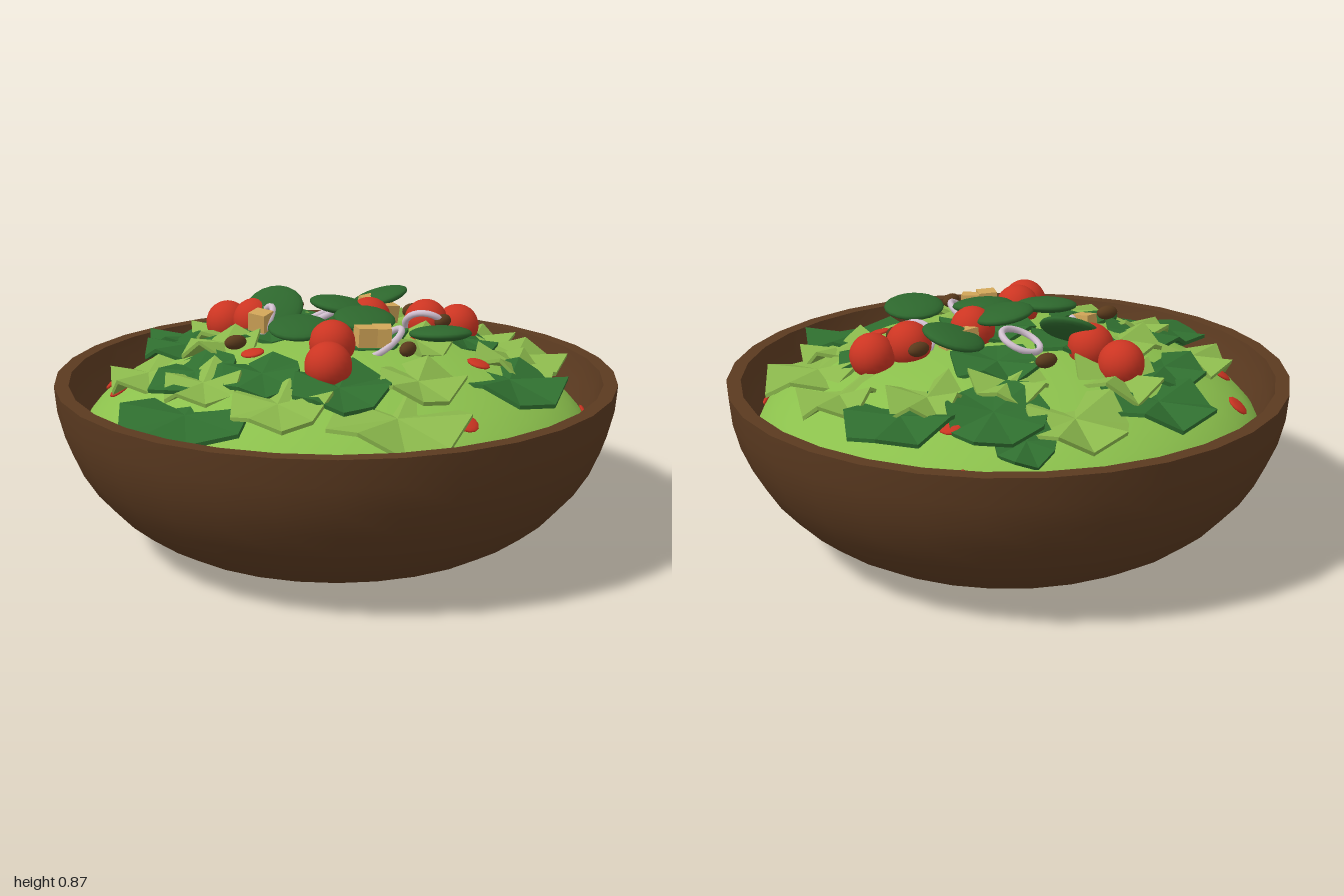
import * as THREE from 'three';
import { toCreasedNormals } from 'three/addons/utils/BufferGeometryUtils.js';

const mat = (name, color, extra = {}) => {
  const m = new THREE.MeshStandardMaterial({ color, ...extra });
  m.name = name;
  return m;
};

// height and slope of the salad mound
const R = 0.93, H = 0.4, BASE = 0.34;
const moundY = (x, z) => BASE + H * Math.sqrt(Math.max(0.02, 1 - (x * x + z * z) / (R * R)));
const moundNormal = (x, z) =>
  new THREE.Vector3(x / (R * R), (moundY(x, z) - BASE) / (H * H), z / (R * R)).normalize();

let seed = 7;
const rnd = () => (seed = (seed * 16807) % 2147483647) / 2147483647;

// thin disc with a jagged, crumpled rim
function leafGeometry(r, crumple) {
  const n = 9, lift = [], reach = [];
  for (let i = 0; i < n; i++) {
    lift.push((i % 2 ? 1 : -0.6) * crumple * (0.5 + rnd()));
    reach.push(0.88 + 0.22 * rnd());
  }
  const g = new THREE.CylinderGeometry(r, r, 0.014, n);
  const p = g.attributes.position;
  for (let i = 0; i < p.count; i++) {
    const x = p.getX(i), z = p.getZ(i);
    if (Math.hypot(x, z) < 0.01) continue;
    const k = ((Math.round(Math.atan2(x, z) / (Math.PI * 2 / n)) % n) + n) % n;
    p.setXYZ(i, x * reach[k], p.getY(i) + lift[k], z * reach[k]);
  }
  g.computeVertexNormals();
  return g;
}

export function createModel() {
  const group = new THREE.Group();
  const wood = mat('wood', 0x5b3a20);
  const lettuce = mat('lettuce', 0x8bc04c);
  const lettuceLeaf = mat('lettuceLeaf', 0x8bb84c, { flatShading: true });
  const spinach = mat('spinach', 0x2f6e2f, { flatShading: true });
  const cucumber = mat('cucumber', 0x2d672d);
  const tomato = mat('tomato', 0xcc3522);
  const crouton = mat('crouton', 0xd2a658);
  const onion = mat('onion', 0xd2c0d0);
  const olive = mat('olive', 0x5a3a1c);

  const add = (name, geo, material, x, y, z, rot = [0, 0, 0]) => {
    const m = new THREE.Mesh(geo, material);
    m.name = name;
    m.position.set(x, y, z);
    m.rotation.set(...rot);
    group.add(m);
    return m;
  };

  // bowl: round outer wall, flat rim, inner wall
  const profile = [[0, 0]];
  for (let i = 0; i <= 10; i++) {
    const a = (i / 10) * Math.PI / 2;
    profile.push([0.4 + 0.6 * Math.sin(a), 0.6 - 0.6 * Math.cos(a)]);
  }
  profile.push([0.95, 0.6], [0.93, 0.52], [0.89, 0.44], [0.83, 0.3], [0.6, 0.1], [0, 0.05]);
  const bowl = new THREE.LatheGeometry(profile.map(([x, y]) => new THREE.Vector2(x, y)), 32);
  add('bowl', toCreasedNormals(bowl, 0.6), wood, 0, 0, 0);

  // lettuce mound
  const mound = new THREE.SphereGeometry(1, 40, 14, 0, Math.PI * 2, 0, Math.PI / 2);
  mound.scale(R, H, R);
  add('lettuceMound', mound, lettuce, 0, BASE, 0);

  // leaves: x, z, radius, share of the mound's tilt, crumple
  const up = new THREE.Vector3(0, 1, 0);
  const addLeaves = (name, material, list) => list.forEach(([x, z, r, tilt, crumple]) => {
    const leaf = add(name, leafGeometry(r, crumple), material, x, moundY(x, z) + 0.006, z);
    const n = up.clone().lerp(moundNormal(x, z), tilt).normalize();
    leaf.quaternion.setFromUnitVectors(up, n);
  });
  addLeaves('spinachLeaf', spinach, [
    [-0.73, 0.03, 0.24, 0.3, 0.02], [-0.1, -0.65, 0.19, 0.3, 0.025], [-0.3, -0.48, 0.17, 0.3, 0.025],
    [0.63, -0.2, 0.2, 0.35, 0.025], [0.24, 0.6, 0.21, 0.3, 0.03], [-0.36, 0.37, 0.17, 0.5, 0.025],
    [0.42, -0.42, 0.17, 0.9, 0.02], [-0.53, -0.15, 0.16, 0.9, 0.02], [0.02, 0.08, 0.17, 1, 0.02],
    [0.4, 0.25, 0.14, 0.9, 0.02], [-0.12, -0.22, 0.16, 0.9, 0.02], [0.22, -0.2, 0.15, 1, 0.02],
    [-0.45, 0.1, 0.14, 0.9, 0.02], [-0.68, 0.54, 0.04, 1, 0.01], [0.42, -0.58, 0.1, 0.95, 0.015],
  ]);
  addLeaves('lettuceLeaf', lettuceLeaf, [
    [-0.33, 0.6, 0.22, 0.35, 0.03], [0.56, 0.38, 0.2, 0.4, 0.03], [-0.12, 0.5, 0.15, 0.6, 0.03],
    [0.23, -0.6, 0.18, 0.6, 0.03], [-0.55, -0.38, 0.16, 0.6, 0.03], [0.66, 0.1, 0.15, 0.5, 0.03],
    [-0.55, 0.28, 0.17, 0.5, 0.03], [-0.08, -0.48, 0.16, 0.7, 0.035], [-0.3, -0.26, 0.15, 0.8, 0.035],
    [0.4, 0.5, 0.15, 0.6, 0.03], [0.52, -0.2, 0.13, 0.7, 0.035], [0.28, -0.33, 0.13, 0.8, 0.03],
    [-0.58, -0.05, 0.14, 0.6, 0.03], [0.15, 0.25, 0.14, 0.9, 0.03],
  ]);

  // cherry tomatoes
  const ball = new THREE.SphereGeometry(0.08, 20, 14);
  [[-0.1, -0.47], [-0.09, -0.33], [0.36, 0.11], [0.48, 0.16], [0.14, 0.03], [-0.18, 0.16], [-0.32, 0.28]]
    .forEach(([x, z]) => add('cherryTomato', ball, tomato, x, moundY(x, z) + 0.04, z));

  // tomato pieces peeping through the mound
  const piece = new THREE.SphereGeometry(0.042, 12, 8).scale(1, 0.25, 1);
  [[-0.49, -0.66], [-0.62, -0.46], [0.65, -0.53], [0.32, -0.42], [0.55, -0.36], [-0.33, -0.08],
    [0.15, 0.23], [0.23, 0.47], [-0.13, 0.72], [0.2, -0.05], [-0.28, -0.65], [0.64, 0.64]]
    .forEach(([x, z]) => add('tomatoPiece', piece, tomato, x, moundY(x, z) + 0.003, z)
      .quaternion.setFromUnitVectors(up, moundNormal(x, z)));

  // cucumber slices: x, y, z, tilts
  const slice = new THREE.SphereGeometry(0.11, 20, 12).scale(1, 0.24, 1);
  [[-0.2, 0.8, 0.02, 0.1, 0.1], [0.06, 0.83, -0.04, 0.1, -0.12], [0.01, 0.815, 0.13, 0.15, 0.05],
    [0.14, 0.78, 0.37, -0.1, -0.08], [0.32, 0.81, -0.09, -0.2, 0.2], [-0.06, 0.8, -0.26, 0.35, 0.55]]
    .forEach(([x, y, z, a, b]) => add('cucumberSlice', slice, cucumber, x, y, z, [a, 0, b]));

  // croutons
  const cube = new THREE.BoxGeometry(0.066, 0.066, 0.066);
  [[-0.18, 0.785, -0.2], [0.255, 0.79, -0.075], [0.265, 0.775, 0], [-0.1, 0.79, 0.24], [-0.04, 0.785, 0.26]]
    .forEach(([x, y, z], i) => add('crouton', cube, crouton, x, y, z, [0.1, 0.3 + i * 1.3, 0.08]));

  // onion rings
  const ring = new THREE.TorusGeometry(0.072, 0.012, 8, 24);
  [[0.08, 0.765, -0.16, 1.2, 0.2], [-0.14, 0.76, -0.24, 0.9, 0.8], [0.32, 0.74, 0.14, 1.0, -0.7], [0.0, 0.75, 0.24, 1.1, 0.5]]
    .forEach(([x, y, z, a, b]) => add('onionRing', ring, onion, x, y, z, [a, b, 0]));

  // olives
  const bean = new THREE.SphereGeometry(0.042, 14, 10).scale(1, 0.6, 0.6);
  [[-0.39, -0.1], [0.15, -0.37], [0.4, 0], [0.35, 0.2], [-0.05, 0.39]]
    .forEach(([x, z], i) => add('olive', bean, olive, x, moundY(x, z) + 0.06, z, [0, i * 0.12 - 0.2, 0]));

  return group;
}
